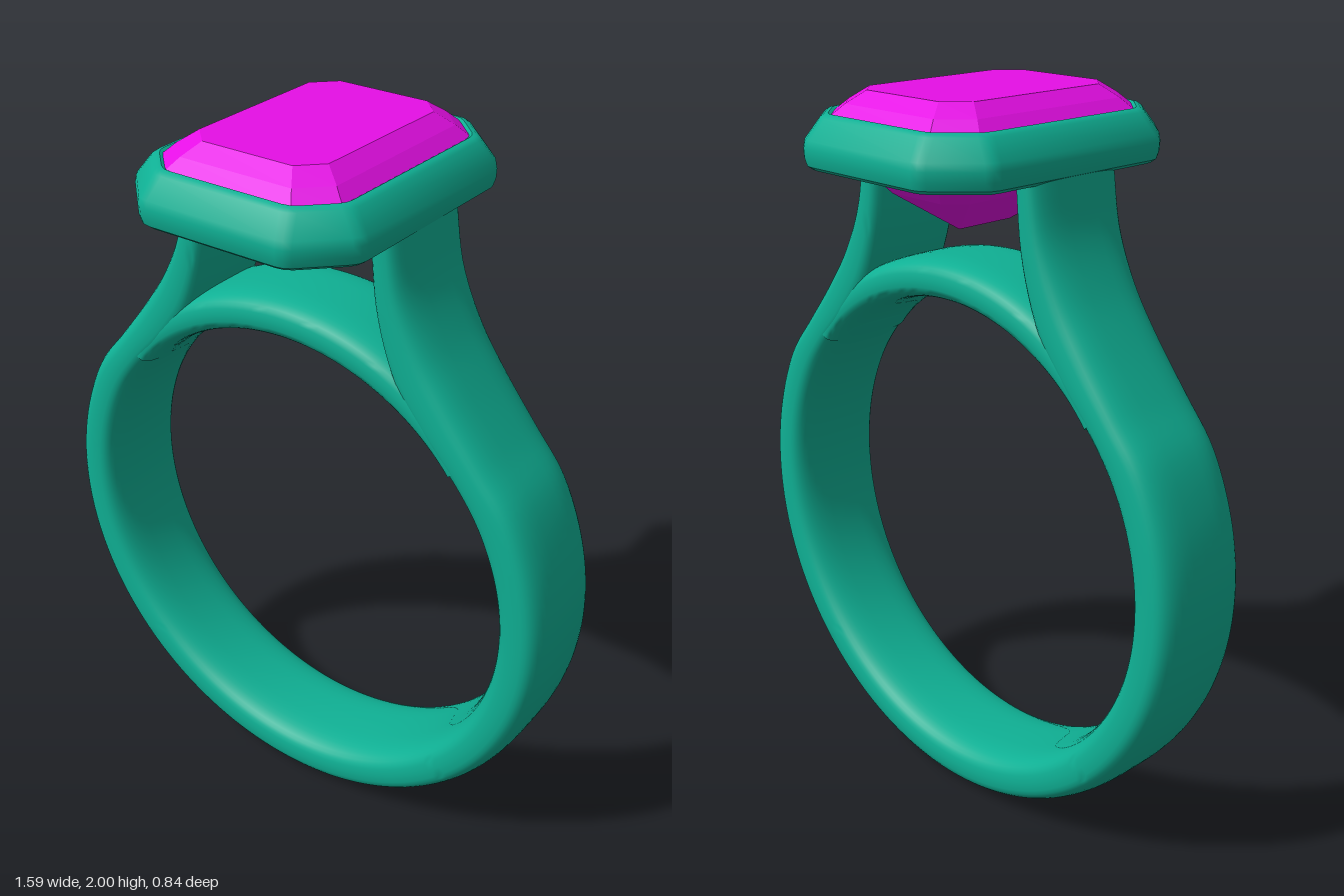
import * as THREE from 'three';
import { toCreasedNormals } from 'three/addons/utils/BufferGeometryUtils.js';

const CENTRE_Y = 0.795, R_IN = 0.655, R_OUT = 0.795, HALF_WIDTH = 0.155;

// Skin a list of equal-length closed cross-sections; loop joins last to first, otherwise ends are capped.
function loft(rings, loop = false) {
  const n = rings[0].length, m = rings.length, index = [];
  const pts = rings.flat();
  for (let i = 0; i < (loop ? m : m - 1); i++) {
    for (let j = 0; j < n; j++) {
      const k = (j + 1) % n, i2 = (i + 1) % m;
      const a = i * n + j, b = i * n + k, c = i2 * n + k, d = i2 * n + j;
      index.push(a, b, c, a, c, d);
    }
  }
  if (!loop) {
    const e = (m - 1) * n;
    for (let j = 1; j < n - 1; j++) index.push(0, j + 1, j, e, e + j, e + j + 1);
  }
  // Turn the faces outward if the enclosed volume is negative
  let volume = 0;
  const cross = new THREE.Vector3();
  for (let t = 0; t < index.length; t += 3) {
    volume += cross.crossVectors(pts[index[t]], pts[index[t + 1]]).dot(pts[index[t + 2]]);
  }
  if (volume < 0) index.reverse();
  const g = new THREE.BufferGeometry().setFromPoints(pts);
  g.setIndex(index);
  return g;
}

// Rounded-rectangle section spanning an inner and an outer point, extended along z
function bandSection(inner, outer, halfWidth) {
  const mid = inner.clone().lerp(outer, 0.5), half = outer.clone().sub(mid);
  const soft = v => Math.sign(v) * Math.pow(Math.abs(v), 0.62);
  return Array.from({ length: 40 }, (_, j) => {
    const a = j / 40 * Math.PI * 2;
    const p = mid.clone().addScaledVector(half, soft(Math.cos(a)));
    p.z = halfWidth * soft(Math.sin(a));
    return p;
  });
}

const polar = (r, deg) => {
  const a = THREE.MathUtils.degToRad(deg);
  return new THREE.Vector3(r * Math.cos(a), CENTRE_Y + r * Math.sin(a), 0);
};

// Octagon (rectangle with cut corners) at height y; bevel > 0 rounds each vertex
function octagon(hx, hz, cut, y, bevel = 0) {
  const c = [];
  for (const [sx, sz, swap] of [[1, 1, 0], [-1, 1, 1], [-1, -1, 0], [1, -1, 1]]) {
    const pair = [new THREE.Vector3(sx * hx, y, sz * (hz - cut)), new THREE.Vector3(sx * (hx - cut), y, sz * hz)];
    c.push(...(swap ? pair.reverse() : pair));
  }
  if (!bevel) return c;
  return c.flatMap((p, i) => {
    const toward = q => p.clone().add(q.clone().sub(p).setLength(bevel));
    const a = toward(c[(i + 7) % 8]), b = toward(c[(i + 1) % 8]);
    return [a, a.clone().lerp(b, 0.5).lerp(p, 0.5), b];
  });
}

export function createModel() {
  const group = new THREE.Group();
  const metal = new THREE.MeshStandardMaterial({ color: 0x0fb094 });
  const stone = new THREE.MeshStandardMaterial({ color: 0xe60fe6, flatShading: true });
  const add = (name, geometry, material) => {
    const mesh = new THREE.Mesh(geometry, material);
    mesh.name = name;
    group.add(mesh);
  };

  // Shank: round below, sweeping up into two shoulders that carry the setting
  const side = (r, shoulder) => {
    const right = [];
    for (let d = -80; d <= 30; d += 10) right.push(polar(r, d));
    shoulder.forEach(([x, y]) => right.push(new THREE.Vector3(x, y, 0)));
    const left = right.map(p => new THREE.Vector3(-p.x, p.y, 0)).reverse();
    return new THREE.CatmullRomCurve3([...left, polar(r, -90), ...right], false, 'catmullrom', 0.5).getPoints(180);
  };
  const outer = side(R_OUT, [[0.6, 1.3], [0.5, 1.43], [0.42, 1.55], [0.36, 1.68], [0.33, 1.83]]);
  const inner = side(R_IN, [[0.5, 1.218], [0.4, 1.32], [0.315, 1.44], [0.26, 1.62], [0.24, 1.83]]);
  add('shank', toCreasedNormals(loft(inner.map((p, i) => bandSection(p, outer[i], HALF_WIDTH))), 0.7), metal);

  // Bridge: arch closing the finger hole beneath the setting
  const arch = [];
  for (let d = 42; d <= 138; d += 2) {
    const thick = 0.115 - 0.035 * Math.pow(Math.abs(d - 90) / 48, 4);
    arch.push(bandSection(polar(R_IN, d), polar(R_IN + thick, d), HALF_WIDTH - 0.003));
  }
  add('bridge', toCreasedNormals(loft(arch), 0.7), metal);

  // Bezel: profile of [inset, height] carried around a cut-corner rectangle
  const profile = [
    [0.02, 1.81], [0.007, 1.82], [0.001, 1.84], [0, 1.865], [0.004, 1.885], [0.042, 1.936],
    [0.052, 1.943], [0.062, 1.945], [0.07, 1.94], [0.075, 1.92], [0.1, 1.85], [0.1, 1.81],
  ];
  const bezel = profile.map(([d, y]) => octagon(0.34 - d, 0.42 - d, 0.128 - 0.586 * d, y, 0.022));
  add('bezel', toCreasedNormals(loft(bezel, true), 0.6), metal);

  // Gemstone: step-cut crown, girdle and pavilion closing to a short keel
  const steps = [
    [0.002, 0.09, 0, 1.645], [0.14, 0.235, 0.05, 1.745], [0.205, 0.288, 0.065, 1.81],
    [0.27, 0.355, 0.082, 1.92], [0.27, 0.355, 0.082, 1.935],
    [0.235, 0.32, 0.072, 1.968], [0.19, 0.275, 0.058, 2],
  ];
  add('gemstone', loft(steps.map(([x, z, cut, y]) => octagon(x, z, cut, y))).toNonIndexed(), stone);
  group.getObjectByName('gemstone').geometry.computeVertexNormals();

  return group;
}
